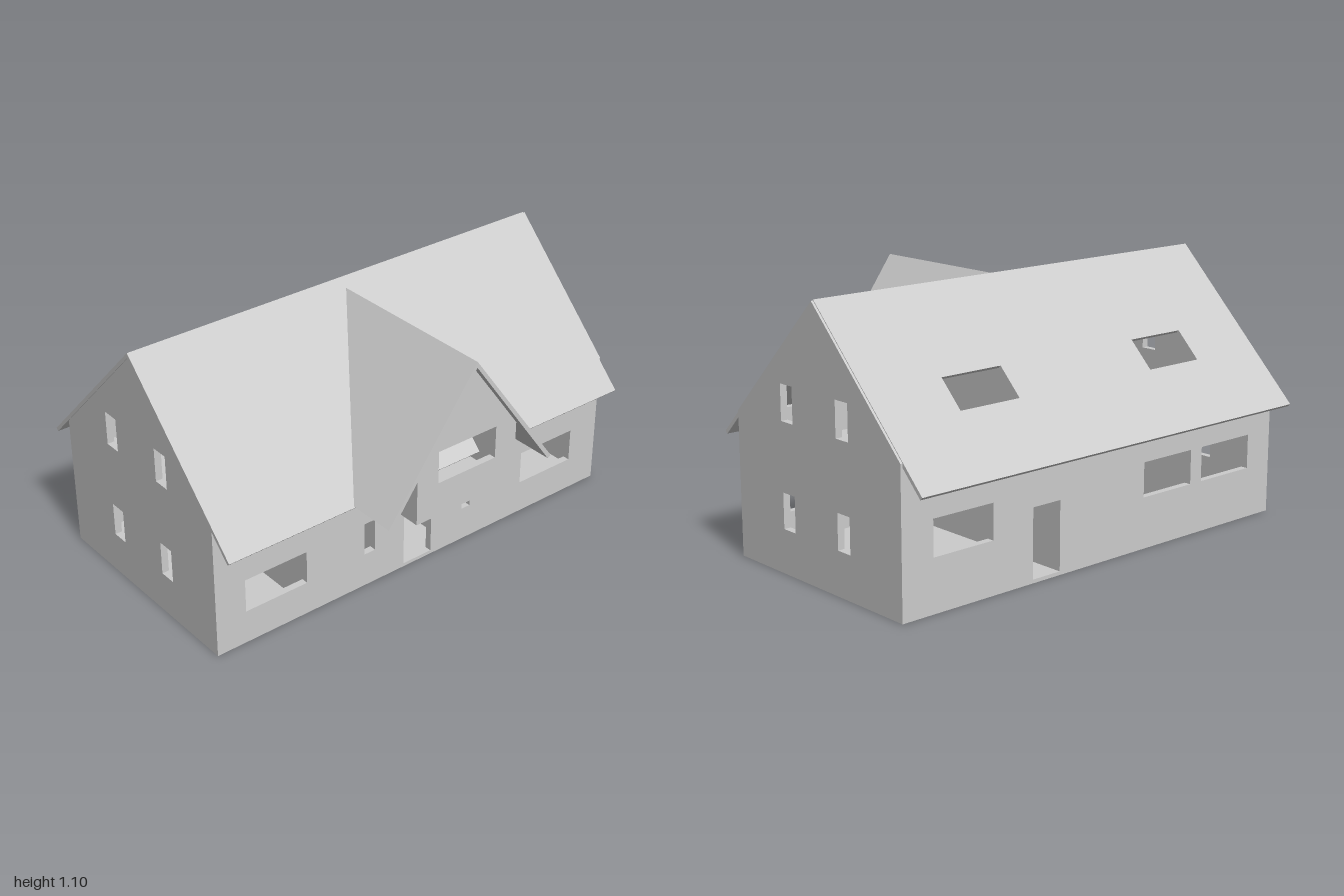
import * as THREE from 'three';

const RIDGE_Y = 1.095, RIDGE_Z = -0.098, EAVE_Y = 0.488;
const T = 0.03; // wall thickness
const X0 = -0.997, X1 = 1; // outer faces of the end walls
const ZF = 0.4, ZB = -0.6; // outer faces of the long walls
const material = new THREE.MeshStandardMaterial({ color: 0xcccccc, side: THREE.DoubleSide });

// rectangle as a list of corners
const rect = (x0, x1, y0, y1) => [[x0, y0], [x1, y0], [x1, y1], [x0, y1]];

// flat slab from an outline with openings, extruded along +z
function slab(outline, holes, depth) {
  const toPoints = (list) => list.map(([x, y]) => new THREE.Vector2(x, y));
  const shape = new THREE.Shape(toPoints(outline));
  holes.forEach((h) => shape.holes.push(new THREE.Path(toPoints(h))));
  return new THREE.ExtrudeGeometry(shape, { depth, bevelEnabled: false });
}

// move every vertex by a rule and rebuild flat normals
function warp(geometry, rule) {
  const p = geometry.attributes.position;
  for (let i = 0; i < p.count; i++) p.setXYZ(i, ...rule(p.getX(i), p.getY(i), p.getZ(i)));
  geometry.computeVertexNormals();
  return geometry;
}

function add(parent, name, geometry) {
  const mesh = new THREE.Mesh(geometry, material);
  mesh.name = name;
  parent.add(mesh);
  return mesh;
}

function box(parent, name, x0, x1, y0, y1, z0, z1) {
  const g = new THREE.BoxGeometry(x1 - x0, y1 - y0, z1 - z0);
  g.translate((x0 + x1) / 2, (y0 + y1) / 2, (z0 + z1) / 2);
  return add(parent, name, g);
}

// wall across the house, following the roof slope up to a given height
function crossWall(parent, name, x, top, holes, gap) {
  const under = (z) => RIDGE_Y - gap - Math.abs(z - RIDGE_Z);
  const dz = RIDGE_Y - gap - top;
  const outline = [[-ZF, 0], [-ZB, 0], [-ZB, under(ZB)], [-RIDGE_Z + dz, top]];
  if (dz > 0) outline.push([-RIDGE_Z - dz, top]);
  outline.push([-ZF, under(ZF)]);
  const g = slab(outline, holes, T);
  g.rotateY(Math.PI / 2);
  g.translate(x, 0, 0);
  return add(parent, name, g);
}

// one pitched side of the main roof; side is +1 for front, -1 for back
function roofSide(parent, name, side, holes) {
  const thick = 0.015;
  const g = slab(rect(-1, 0.99, EAVE_Y, RIDGE_Y), holes, thick);
  return add(parent, name, warp(g, (x, y, d) => {
    const s = (side > 0 ? thick - d : d) * 0.707;
    const z = RIDGE_Y - y;
    // mitred at the ridge, square at the eaves
    return z < 0.001 ? [x, y - 2 * s, RIDGE_Z] : [x, y - s, RIDGE_Z + side * (z - s)];
  }));
}

function buildWalls(house) {
  const walls = new THREE.Group();
  walls.name = 'walls';
  house.add(walls);

  const front = add(walls, 'frontWall', slab(rect(X0, X1, 0, 0.575), [
    rect(-0.86, -0.57, 0.145, 0.29), rect(0.56, 0.85, 0.145, 0.29), // wide windows
    rect(-0.285, -0.21, 0.15, 0.295), rect(0.2, 0.275, 0.15, 0.295), // narrow windows
    rect(-0.08, 0.065, 0.015, 0.295), // door
  ], T));
  front.position.z = ZF - T;

  const back = add(walls, 'backWall', slab(rect(X0, X1, 0, 0.572), [
    rect(0.57, 0.855, 0.215, 0.36), rect(-0.505, -0.215, 0.215, 0.36),
    rect(-0.86, -0.57, 0.215, 0.36),
    rect(0.228, 0.37, 0.015, 0.3), // back door
  ], T));
  back.position.z = ZB;

  // gable ends with two windows per floor
  const windows = [];
  for (const z of [0.075, -0.265])
    for (const y of [0.18, 0.605])
      windows.push(rect(-z - 0.037, -z + 0.037, y, y + 0.145));
  crossWall(walls, 'leftGable', X1 - T, RIDGE_Y - 0.004, windows, 0.004);
  crossWall(walls, 'rightGable', X0, RIDGE_Y - 0.004, windows, 0.004);
}

function buildInterior(house) {
  const inside = new THREE.Group();
  inside.name = 'interior';
  house.add(inside);
  const a = X0 + T, b = X1 - T;

  box(inside, 'groundFloor', X0 + 0.002, X1 - 0.002, 0.001, 0.015, ZB + 0.002, ZF - 0.002);
  // upper floor with stairwell
  const floor = slab(rect(a, b, -(ZF - T), -(ZB + T)), [rect(-0.45, -0.1, 0.1, 0.265)], 0.015);
  floor.rotateX(-Math.PI / 2);
  floor.translate(0, 0.42, 0);
  add(inside, 'upperFloor', floor);
  box(inside, 'ceiling', a, b, 0.845, 0.858, -0.31, 0.115);

  box(inside, 'longPartition', -0.54, 0.2, 0.01, 0.42, -0.3, -0.28);
  for (const x of [-0.54, 0.18]) box(inside, 'crossPartition', x - 0.02, x, 0.01, 0.42, ZB + T, ZF - T);
  for (const x of [-0.23, 0.2]) crossWall(inside, 'upperPartition', x, 0.845, [], 0.024);

  // open staircase rising toward the right side
  for (let i = 0; i < 14; i++) {
    const x = 0.065 - i * 0.036, y = 0.045 + i * 0.028;
    box(inside, 'stairTread', x - 0.045, x, y - 0.022, y, -0.265, -0.1);
  }
}

function buildRoof(house) {
  const roof = new THREE.Group();
  roof.name = 'roof';
  house.add(roof);
  // triangular opening into the dormer
  roofSide(roof, 'frontRoof', 1, [[[-0.2, 0.59], [0.19, 0.59], [-0.005, 0.86]]]);
  // two skylights
  roofSide(roof, 'backRoof', -1, [rect(-0.645, -0.365, 0.697, 0.803), rect(0.345, 0.635, 0.697, 0.803)]);
}

function buildDormer(house) {
  const dormer = new THREE.Group();
  dormer.name = 'dormer';
  dormer.position.x = -0.004;
  house.add(dormer);
  const w = 0.25, zw = 0.675, apex = 1.034, slope = 1.367;
  const shoulder = apex - w * slope;

  // gable front with window
  const front = add(dormer, 'dormerFront', slab(
    [[-w, 0.425], [w, 0.425], [w, shoulder], [0, apex], [-w, shoulder]],
    [rect(-0.146, 0.144, 0.572, 0.712)], T));
  front.position.z = zw - T;

  for (const s of [-1, 1]) {
    const x = s * (w - T / 2);
    box(dormer, 'dormerSide', x - T / 2, x + T / 2, 0.425, shoulder, 0.33, zw - T);
  }
  box(dormer, 'dormerFloor', -w + T, w - T, 0.425, 0.44, ZF, zw - T);

  // pitched roof whose rear edge is cut to the slope of the main roof
  const h = 0.417, inner = 0.4;
  const chevron = slab([[-h, 0.492], [-inner, 0.485], [0, apex + 0.001], [inner, 0.485],
    [h, 0.492], [0, 1.06]], [], 1);
  add(dormer, 'dormerRoof', warp(chevron, (x, y, d) =>
    [x, y, d > 0.5 ? 0.71 : RIDGE_Z + RIDGE_Y - y]));
}

export function createModel() {
  const house = new THREE.Group();
  house.name = 'house';
  buildWalls(house);
  buildInterior(house);
  buildRoof(house);
  buildDormer(house);
  return house;
}
